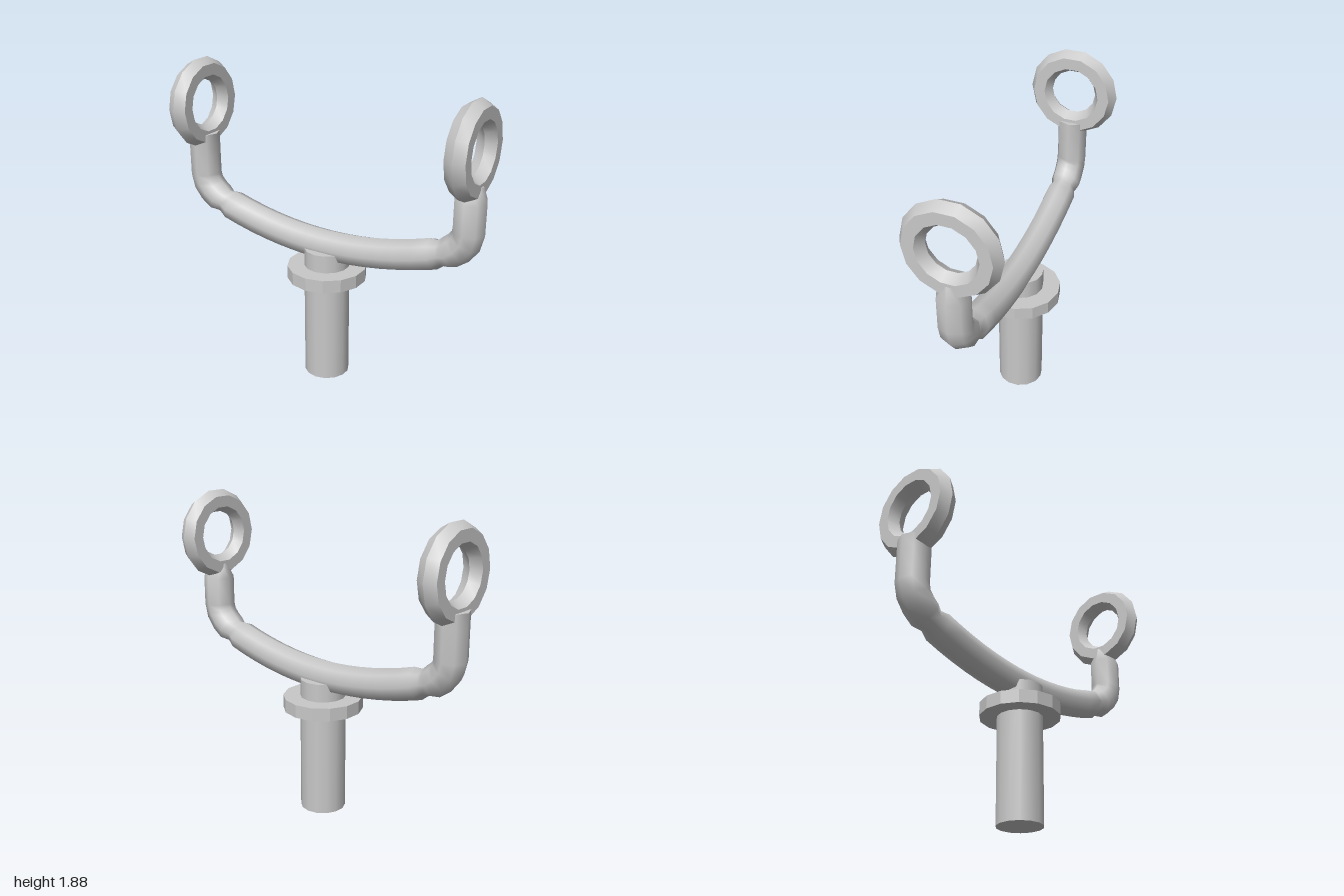
import * as THREE from 'three';
import { toCreasedNormals } from 'three/addons/utils/BufferGeometryUtils.js';

const SIDES = 8;
const RADIUS = 0.095;

// Lofts an octagonal rod through stations [x, y, in-plane scale, depth scale]
function rodGeometry(stations) {
  const pos = [];
  const index = [];
  const last = stations.length - 1;
  stations.forEach(([x, y, sn, sz], i) => {
    const a = stations[Math.max(i - 1, 0)];
    const b = stations[Math.min(i + 1, last)];
    const t = new THREE.Vector2(b[0] - a[0], b[1] - a[1]).normalize();
    // both ends are cut level
    if (i === 0) t.set(0, -1);
    if (i === last) t.set(0, 1);
    for (let j = 0; j < SIDES; j++) {
      const ang = (j / SIDES) * Math.PI * 2;
      const n = Math.cos(ang) * RADIUS * sn;
      pos.push(x - t.y * n, y + t.x * n, Math.sin(ang) * RADIUS * sz);
    }
  });
  for (let i = 0; i < last; i++) {
    for (let j = 0; j < SIDES; j++) {
      const k = (j + 1) % SIDES;
      const p = i * SIDES, q = p + SIDES;
      index.push(p + j, p + k, q + j, p + k, q + k, q + j);
    }
  }
  // end caps with their own vertices
  for (const ring of [0, last]) {
    const base = pos.length / 3;
    for (let j = 0; j < SIDES * 3; j++) pos.push(pos[ring * SIDES * 3 + j]);
    for (let j = 1; j < SIDES - 1; j++) {
      if (ring === 0) index.push(base, base + j + 1, base + j);
      else index.push(base, base + j, base + j + 1);
    }
  }
  const geo = new THREE.BufferGeometry();
  geo.setAttribute('position', new THREE.Float32BufferAttribute(pos, 3));
  geo.setIndex(index);
  geo.computeVertexNormals();
  return geo;
}

export function createModel() {
  const group = new THREE.Group();
  const metal = new THREE.MeshStandardMaterial({ color: 0xc8c8c8 });
  metal.name = 'light grey metal';

  const add = (name, geometry, x, y) => {
    const mesh = new THREE.Mesh(geometry, metal);
    mesh.name = name;
    mesh.position.set(x, y, 0);
    group.add(mesh);
  };

  // Mounting post and its collar
  add('post', new THREE.CylinderGeometry(0.138, 0.138, 0.84, 14), 0, 0.42);
  add('collar', toCreasedNormals(new THREE.CylinderGeometry(0.242, 0.242, 0.08, 14), 0.3), 0, 0.69);

  // Elbow and upright, from the pinched joint upwards
  const elbow = [
    [0.75, 0.985, 0.8, 0.8],
    [0.8, 1.003, 0.98, 1],
    [0.85, 1.04, 1, 1],
    [0.89, 1.09, 1, 1],
    [0.905, 1.15, 1, 1],
    [0.905, 1.33, 1, 1],
  ];
  // Sagging crossbar between the two joints
  const bar = [];
  for (let i = 0; i <= 14; i++) {
    const x = -0.7 + i * 0.1;
    bar.push([x, 0.857 + 0.225 * x * x, 1, 1]);
  }
  const rod = [
    [-0.905, 1.42, 1, 1],
    ...elbow.map(([x, ...rest]) => [-x, ...rest]).reverse(),
    ...bar,
    ...elbow,
    [0.905, 1.42, 0.75, 0.35], // tapered tip
  ];
  add('yoke', rodGeometry(rod), 0, 0);

  // Hexagonal-section rings on top of the uprights
  for (const [name, side] of [['leftRing', 1], ['rightRing', -1]]) {
    const ring = new THREE.TorusGeometry(0.21, 0.07, 6, 14).rotateY(Math.PI / 2);
    add(name, toCreasedNormals(ring, 0.6), side * 0.903, 1.61);
  }
  return group;
}
